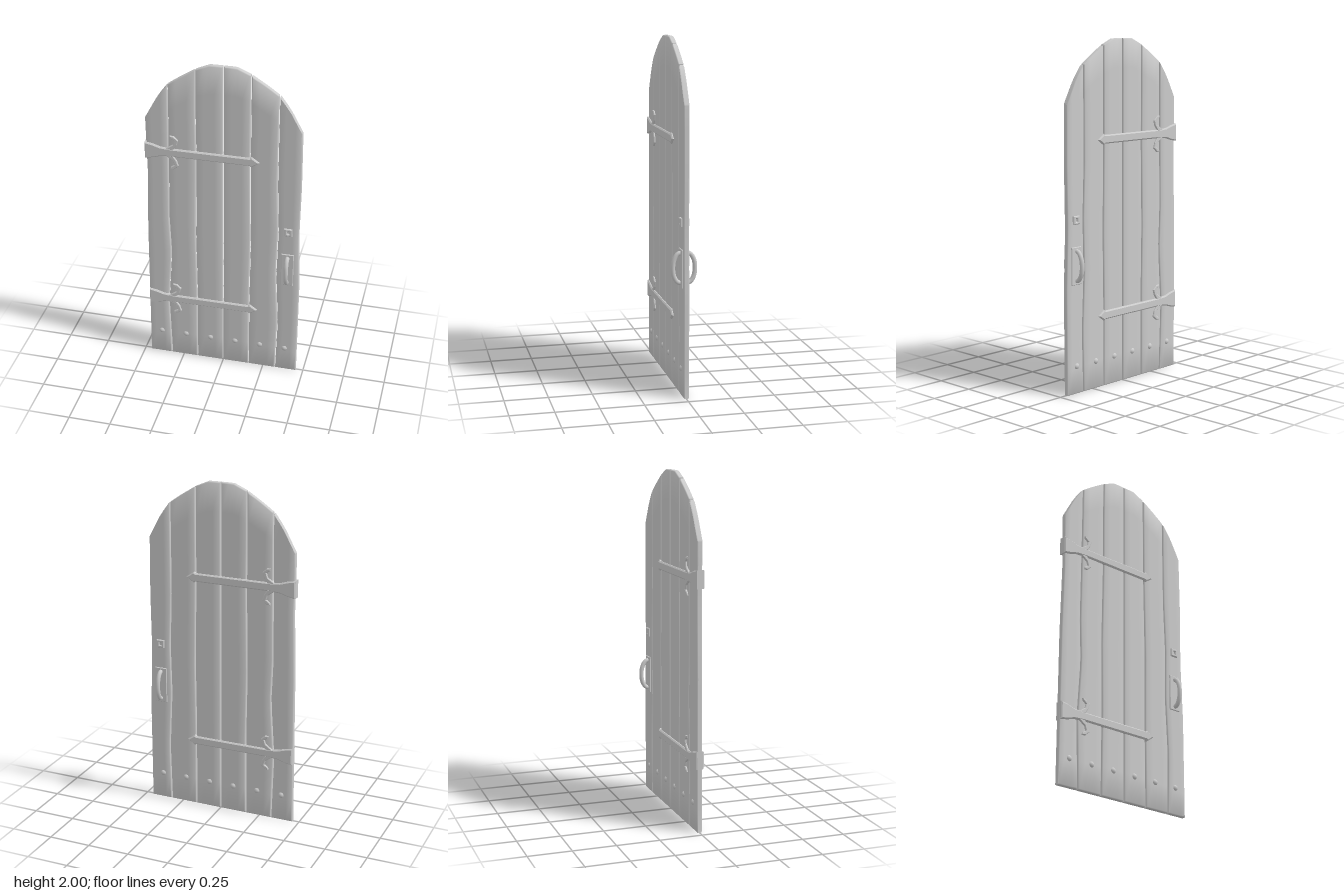
import * as THREE from 'three';
import { mergeVertices, toCreasedNormals } from 'three/addons/utils/BufferGeometryUtils.js';

const mat = new THREE.MeshStandardMaterial({ color: 0xcccccc });

function add(parent, name, geo, x = 0, y = 0, z = 0) {
  const m = new THREE.Mesh(geo, mat);
  m.name = name;
  m.position.set(x, y, z);
  parent.add(m);
  return m;
}

// Linear interpolation through [key, value] pairs
function lerpTable(table, k) {
  for (let i = 1; i < table.length; i++) {
    const [a, va] = table[i - 1], [b, vb] = table[i];
    if (k <= b) return va + (vb - va) * Math.max(0, (k - a) / (b - a));
  }
  return table[table.length - 1][1];
}

// Arch height by distance from the centre line
const ARCH = [[0, 2], [0.075, 2], [0.155, 1.965], [0.25, 1.905], [0.32, 1.855], [0.375, 1.78], [0.45, 1.64], [0.47, 1.6]];

// Wavering seams between the planks: [height, x]
const SEAMS = [
  [[0, -0.46], [0.5, -0.457], [0.9, -0.455], [1.3, -0.445], [1.64, -0.45], [2, -0.45]],
  [[0, -0.325], [0.4, -0.338], [0.75, -0.315], [1.0, -0.325], [1.4, -0.32], [2, -0.315]],
  [[0, -0.163], [0.5, -0.16], [0.9, -0.166], [1.4, -0.158], [1.7, -0.16], [2, -0.157]],
  [[0, 0], [2, 0]],
  [[0, 0.16], [0.5, 0.158], [0.9, 0.163], [1.4, 0.156], [2, 0.156]],
  [[0, 0.325], [0.35, 0.334], [0.7, 0.318], [1.0, 0.325], [1.3, 0.314], [2, 0.314]],
  [[0, 0.455], [0.6, 0.457], [0.95, 0.445], [1.3, 0.45], [1.64, 0.447], [2, 0.447]],
];

// A subdivided box bent to its seams, with chamfered rim and arched top
function plankGeometry(left, right, gapL, gapR) {
  const U = [0, 0.04, 0.3, 0.5, 0.7, 0.96, 1];
  const ROWS = 24;
  const geo = new THREE.BoxGeometry(1, 1, 1, U.length - 1, ROWS, 1);
  const p = geo.attributes.position;
  for (let i = 0; i < p.count; i++) {
    const col = Math.round((p.getX(i) + 0.5) * (U.length - 1));
    const row = Math.round((p.getY(i) + 0.5) * ROWS);
    let v = row / ROWS;
    if (row === 1) v = 0.003;
    if (row === ROWS - 1) v = 0.997;
    let x = 0, y = v * 1.9;
    for (let k = 0; k < 4; k++) {
      const a = lerpTable(left, y) + gapL, b = lerpTable(right, y) - gapR;
      x = a + (b - a) * U[col];
      y = v * lerpTable(ARCH, Math.abs(x));
    }
    const rim = col === 0 || col === U.length - 1 || row === 0 || row === ROWS;
    p.setXYZ(i, x, y, Math.sign(p.getZ(i)) * (rim ? 0.01 : 0.015));
  }
  geo.deleteAttribute('uv');
  geo.deleteAttribute('normal');
  return toCreasedNormals(mergeVertices(geo), 0.95);
}

// Chamfered slab cut from an outline, centred on z = 0
function slab(points, halfDepth, bevel) {
  const shape = new THREE.Shape(points.map(([x, y]) => new THREE.Vector2(x, y)));
  const depth = 2 * (halfDepth - bevel);
  const geo = new THREE.ExtrudeGeometry(shape, {
    depth, bevelEnabled: true, bevelThickness: bevel, bevelSize: bevel, bevelOffset: -bevel, bevelSegments: 1,
  });
  return geo.translate(0, 0, -depth / 2);
}

// Strap hinge with arrow tip and a pair of curled leaves, showing on both sides
function strapHinge(y) {
  const g = new THREE.Group();
  g.name = 'strapHinge';
  g.position.y = y;
  const half = [[-0.456, 0.052], [-0.41, 0.044], [-0.365, 0.03], [-0.32, 0.026], [-0.28, 0.025], [0.155, 0.025], [0.165, 0.032]];
  const lower = half.map(([x, h]) => [x, -h]);
  add(g, 'strap', slab([...lower, [0.21, 0], ...half.reverse()], 0.027, 0.007));
  const leaf = [[-0.34, 0.018], [-0.29, 0.018], [-0.268, 0.05], [-0.258, 0.082], [-0.285, 0.106],
    [-0.308, 0.107], [-0.304, 0.093], [-0.282, 0.078], [-0.29, 0.053], [-0.315, 0.035]];
  add(g, 'upperLeaf', slab(leaf, 0.025, 0.004));
  add(g, 'lowerLeaf', slab(leaf.map(([x, h]) => [x, -h]).reverse(), 0.025, 0.004));
  return g;
}

// Lock boss, back plate and pull for one face
function lockSet() {
  const g = new THREE.Group();
  g.name = 'lockSet';
  const w = 0.037, y0 = 0.632, y1 = 0.848;
  add(g, 'handlePlate', slab([[-w, y0], [w, y0], [w, y1], [-w, y1]], 0.007, 0.003), 0.385, 0, 0.015);
  const pts = [[0.64, 0.654, 0.01], [0.64, 0.66, 0.035], [0.64, 0.692, 0.056], [0.64, 0.74, 0.063],
    [0.64, 0.788, 0.056], [0.64, 0.82, 0.035], [0.64, 0.826, 0.01]];
  const curve = new THREE.CatmullRomCurve3(pts.map(([, y, z]) => new THREE.Vector3(0.385, y, z)));
  add(g, 'pullHandle', new THREE.TubeGeometry(curve, 28, 0.013, 10));
  // Square keyhole boss with a recessed slot
  const s = 0.022;
  const shape = new THREE.Shape([[-s, -s], [s, -s], [s, s], [-s, s]].map(([x, y]) => new THREE.Vector2(x, y)));
  shape.holes.push(new THREE.Path([[-0.009, -0.011], [-0.009, 0.011], [0.009, 0.011], [0.009, -0.011]]
    .map(([x, y]) => new THREE.Vector2(x, y))));
  add(g, 'keyholeBoss', new THREE.ExtrudeGeometry(shape, {
    depth: 0.009, bevelThickness: 0.004, bevelSize: 0.004, bevelOffset: -0.002, bevelSegments: 1,
  }), 0.385, 1.0, 0.013);
  return g;
}

export function createModel() {
  const door = new THREE.Group();
  door.name = 'plankDoor';

  // Six vertical planks
  for (let i = 0; i < 6; i++) {
    add(door, 'plank', plankGeometry(SEAMS[i], SEAMS[i + 1], i > 0 ? 0.003 : 0, i < 5 ? 0.003 : 0));
  }

  // Hinges
  for (const y of [0.42, 1.436]) door.add(strapHinge(y));

  // Row of domed studs through the foot
  for (let i = 0; i < 6; i++) {
    const stud = add(door, 'stud', new THREE.SphereGeometry(0.022, 14, 10), -0.388 + i * 0.154, 0.16, 0);
    stud.scale.z = 1.14;
  }

  // Lock furniture on both faces
  const front = lockSet();
  const back = lockSet();
  back.rotation.y = Math.PI;
  back.position.x = 0.77;
  door.add(front, back);

  return door;
}
